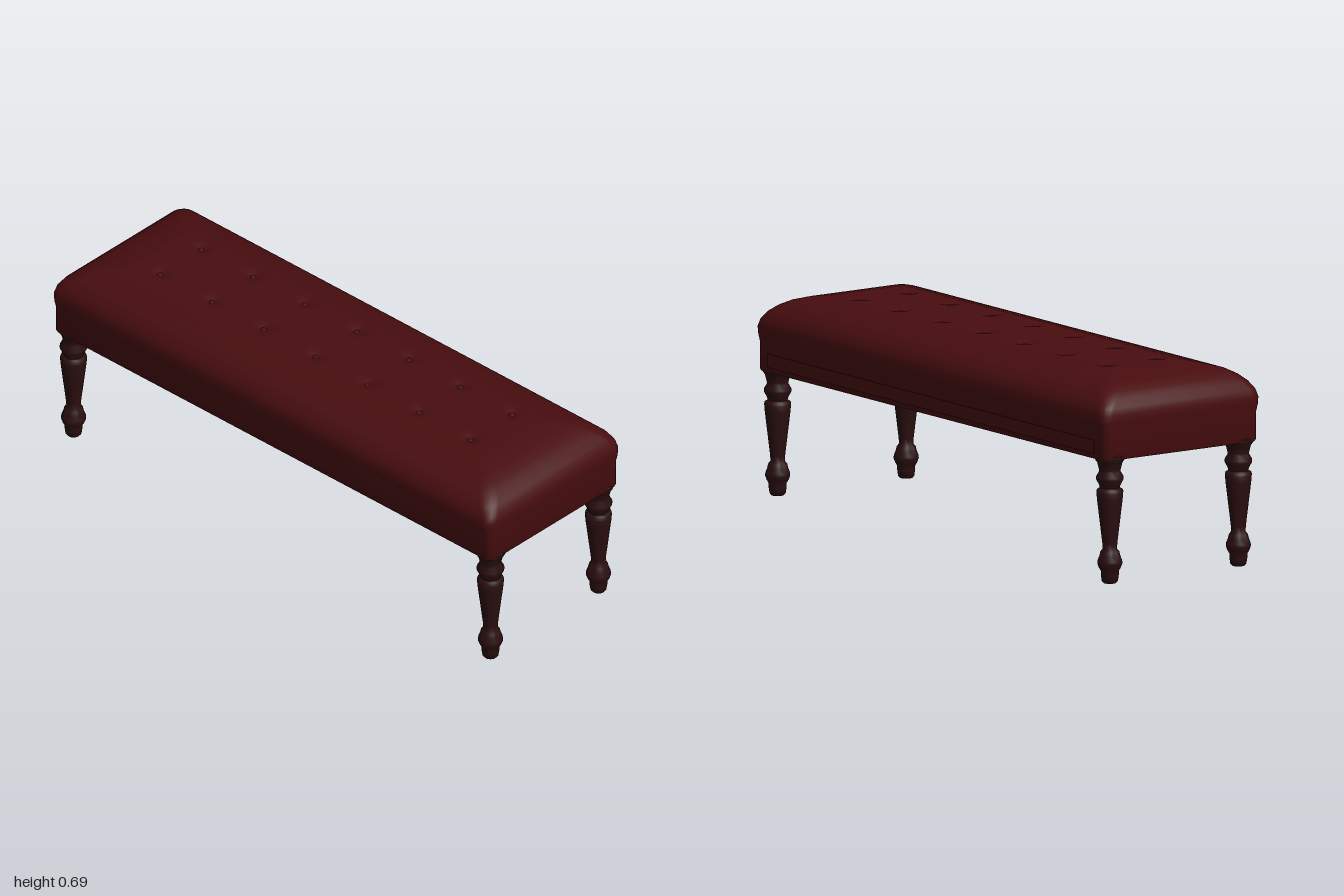
import * as THREE from 'three';
import { toCreasedNormals } from 'three/addons/utils/BufferGeometryUtils.js';

// Rounded rectangle in plan, ordered from +x towards +z
function ring([hx, hz, y, r]) {
  const pts = [];
  const seg = 5;
  for (let k = 0; k < 4; k++) {
    const sx = k === 0 || k === 3 ? 1 : -1;
    const sz = k < 2 ? 1 : -1;
    for (let i = 0; i <= seg; i++) {
      const a = (k + i / seg) * Math.PI / 2;
      pts.push([sx * (hx - r) + r * Math.cos(a), y, sz * (hz - r) + r * Math.sin(a)]);
    }
  }
  return pts;
}

// Joins successive rings into one skin
function loft(profile) {
  const rings = profile.map(ring);
  const n = rings[0].length;
  const index = [];
  for (let j = 0; j < rings.length - 1; j++) {
    for (let i = 0; i < n; i++) {
      const a = j * n + i, b = j * n + (i + 1) % n;
      index.push(a, a + n, b, b, a + n, b + n);
    }
  }
  const g = new THREE.BufferGeometry();
  g.setAttribute('position', new THREE.Float32BufferAttribute(rings.flat(2), 3));
  g.setIndex(index);
  return toCreasedNormals(g, 0.7);
}

export function createModel() {
  const model = new THREE.Group();
  model.name = 'tuftedBench';
  const leather = new THREE.MeshStandardMaterial({ color: 0x480d0f });
  leather.name = 'oxblood leather';
  const wood = new THREE.MeshStandardMaterial({ color: 0x2a0e0f });
  wood.name = 'dark wood';

  const add = (name, geometry, material, parent = model) => {
    const mesh = new THREE.Mesh(geometry, material);
    mesh.name = name;
    parent.add(mesh);
    return mesh;
  };

  // Hollow apron and domed cushion sides: half x, half z, height, corner radius
  add('seatShell', loft([
    [0.965, 0.288, 0.50, 0.01],
    [0.965, 0.288, 0.422, 0.01],
    [0.989, 0.31, 0.422, 0.025],
    [0.992, 0.313, 0.428, 0.025],
    [0.992, 0.313, 0.52, 0.025],
    [0.997, 0.319, 0.545, 0.03],
    [1.0, 0.322, 0.572, 0.035],
    [0.994, 0.317, 0.597, 0.04],
    [0.978, 0.302, 0.622, 0.045],
    [0.952, 0.278, 0.644, 0.045],
    [0.92, 0.248, 0.661, 0.04],
    [0.88, 0.205, 0.673, 0.03],
    [0.84, 0.175, 0.680, 0.02],
    [0.80, 0.15, 0.685, 0.006],
  ]), leather);

  // Tufted top: a fine grid pulled down around each button
  const tufts = [];
  for (const z of [-0.1, 0.1]) {
    for (let i = -3; i <= 3; i++) tufts.push([i * 0.235, z]);
  }
  const top = new THREE.PlaneGeometry(1.6, 0.3, 160, 36).rotateX(-Math.PI / 2);
  const p = top.attributes.position;
  for (let i = 0; i < p.count; i++) {
    let dip = 0;
    for (const [x, z] of tufts) {
      const d = Math.hypot(p.getX(i) - x, p.getZ(i) - z) / 0.048;
      if (d < 1) dip += 0.013 * (1 - d) ** 1.5;
    }
    p.setY(i, 0.685 - dip);
  }
  top.computeVertexNormals();
  add('tuftedTop', top, leather);

  // Buttons sunk in the tufts
  const buttonShape = new THREE.SphereGeometry(0.011, 12, 8).scale(1, 0.4, 1);
  for (const [x, z] of tufts) add('button', buttonShape, leather).position.set(x, 0.675, z);

  // Underside panel inside the apron
  add('underside', new THREE.PlaneGeometry(1.94, 0.585).rotateX(Math.PI / 2), leather)
    .position.y = 0.498;

  // Shallow panel along the back of the apron
  add('backPanel', new THREE.BoxGeometry(1.86, 0.045, 0.008), leather)
    .position.set(0, 0.463, -0.313);

  // Turned legs
  const legProfile = [
    [0, 0], [0.021, 0.001], [0.027, 0.008], [0.03, 0.028], [0.03, 0.042],
    [0.037, 0.054], [0.042, 0.068], [0.041, 0.077], [0.035, 0.092], [0.032, 0.106],
    [0.024, 0.116], [0.025, 0.135], [0.034, 0.21], [0.043, 0.285], [0.045, 0.31],
    [0.043, 0.317], [0.033, 0.323], [0.036, 0.333], [0.046, 0.352], [0.046, 0.36],
    [0.036, 0.377], [0.036, 0.384], [0.039, 0.396], [0.042, 0.408], [0.05, 0.42],
    [0.05, 0.432], [0.043, 0.438], [0, 0.44],
  ].map(([r, y]) => new THREE.Vector2(r, y));
  const legShape = toCreasedNormals(new THREE.LatheGeometry(legProfile, 24), 0.8);
  for (const [side, x] of [['left', 1], ['right', -1]]) {
    for (const [end, z] of [['Front', 1], ['Back', -1]]) {
      add(`${side}${end}Leg`, legShape, wood).position.set(x * 0.946, 0, z * 0.262);
    }
  }
  return model;
}
